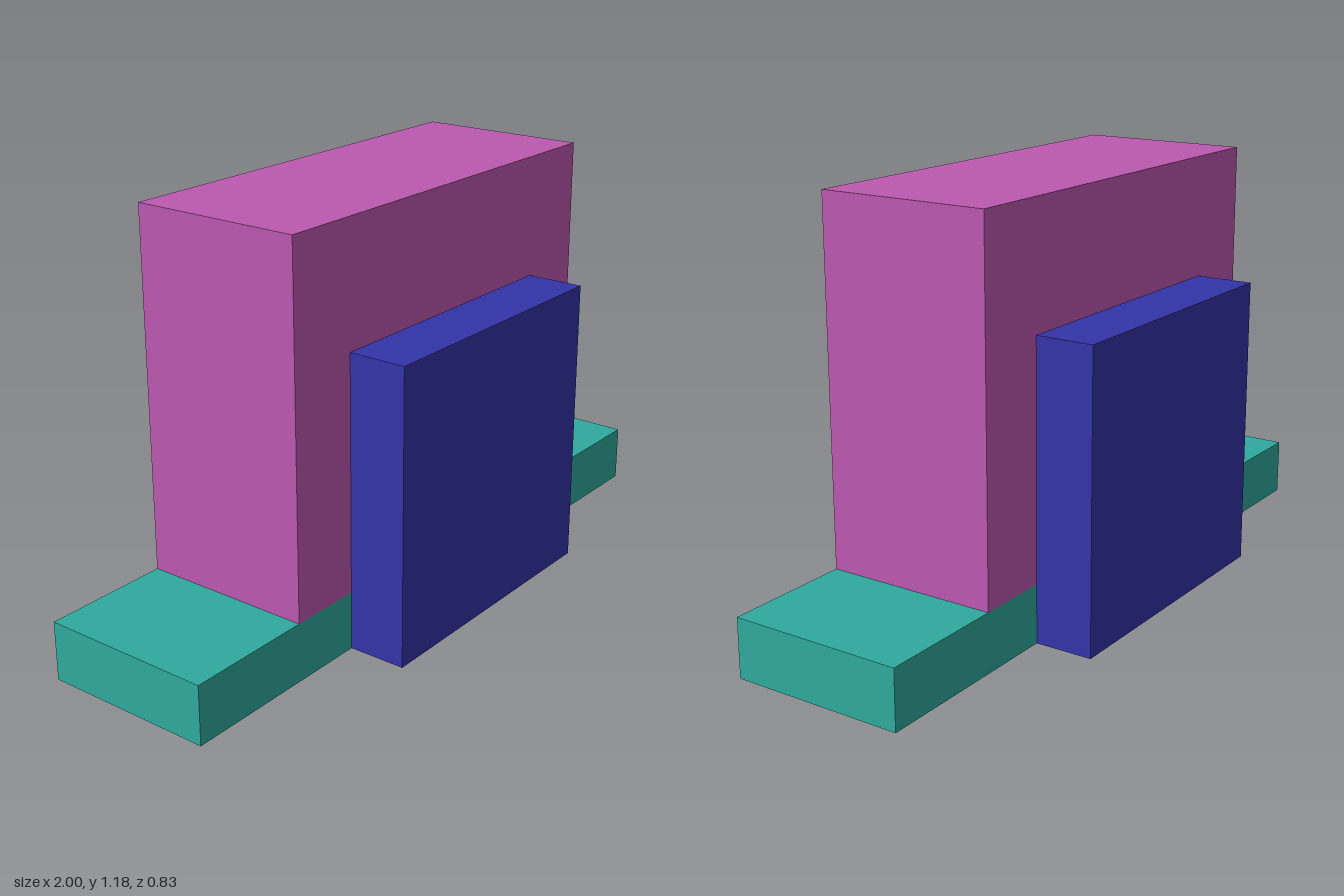
import * as THREE from 'three';

// Box standing on height y, centred on x and at depth z
function block(name, color, w, h, d, y, z = 0) {
  const material = new THREE.MeshStandardMaterial({ color });
  const mesh = new THREE.Mesh(new THREE.BoxGeometry(w, h, d), material);
  mesh.name = name;
  mesh.position.set(0, y + h / 2, z);
  return mesh;
}

export function createModel() {
  const model = new THREE.Group();
  model.name = 'steppedBlocks';

  const depth = 0.5, baseHeight = 0.167, panelDepth = 0.167;

  // Long low base and the tall block resting on it
  model.add(block('base', 0x2fa99d, 2, baseHeight, depth, 0));
  model.add(block('tallBlock', 0xbc58b0, 1.26, 1.183 - baseHeight, depth, baseHeight));

  // Matching panels against the front and back
  for (const [name, side] of [['frontPanel', 1], ['backPanel', -1]]) {
    model.add(block(name, 0x3434a9, 0.833, 0.835, panelDepth, 0, side * (depth + panelDepth) / 2));
  }
  return model;
}
